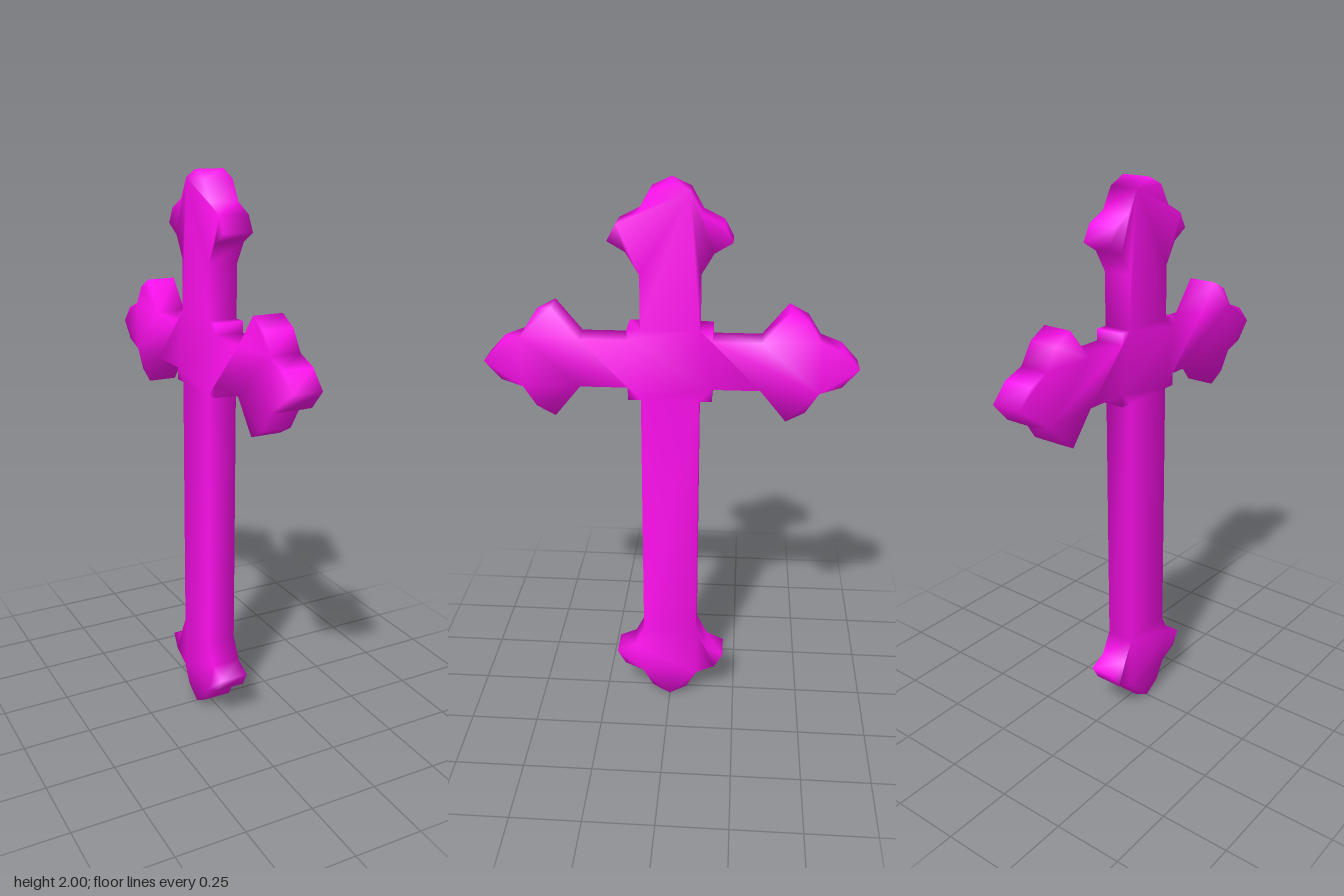
import * as THREE from 'three';
import { mergeVertices } from 'three/addons/utils/BufferGeometryUtils.js';

const THICKNESS = 0.106;

// Half of the outline as [z, y], from the top tip down to the bottom tip
const HALF = [
  // top finial
  [0, 2], [0.065, 1.97], [0.105, 1.9], [0.175, 1.865], [0.205, 1.81], [0.145, 1.775], [0.1, 1.7],
  // upper step of the centre block
  [0.1, 1.515], [0.145, 1.515], [0.145, 1.475],
  // side arm with its finial
  [0.31, 1.475], [0.4, 1.585], [0.465, 1.55], [0.51, 1.48], [0.583, 1.452], [0.64, 1.39],
  [0.583, 1.325], [0.51, 1.3], [0.465, 1.23], [0.4, 1.195], [0.31, 1.305],
  // lower step of the centre block
  [0.145, 1.305], [0.145, 1.26], [0.1, 1.26],
  // foot finial
  [0.1, 0.305], [0.14, 0.225], [0.205, 0.195], [0.175, 0.14], [0.105, 0.108], [0.065, 0.038], [0, 0],
];

export function createModel() {
  const group = new THREE.Group();
  group.name = 'ornateCross';

  // Mirror the half outline to close the silhouette
  const mirrored = HALF.slice(1, -1).reverse().map(([z, y]) => [-z, y]);
  const outline = [...HALF, ...mirrored].map(([z, y]) => new THREE.Vector2(z, y));

  // Extrude the slab and turn it to lie in the y-z plane
  let geometry = new THREE.ExtrudeGeometry(new THREE.Shape(outline), {
    depth: THICKNESS, bevelEnabled: false,
  });
  geometry.translate(0, 0, -THICKNESS / 2);
  geometry.rotateY(-Math.PI / 2);

  // Weld the corners so the shading runs softly over the edges
  geometry.deleteAttribute('normal');
  geometry.deleteAttribute('uv');
  geometry = mergeVertices(geometry, 1e-4);
  geometry.computeVertexNormals();

  const cross = new THREE.Mesh(geometry, new THREE.MeshStandardMaterial({ color: 0xff10ee }));
  cross.name = 'cross';
  group.add(cross);
  return group;
}
